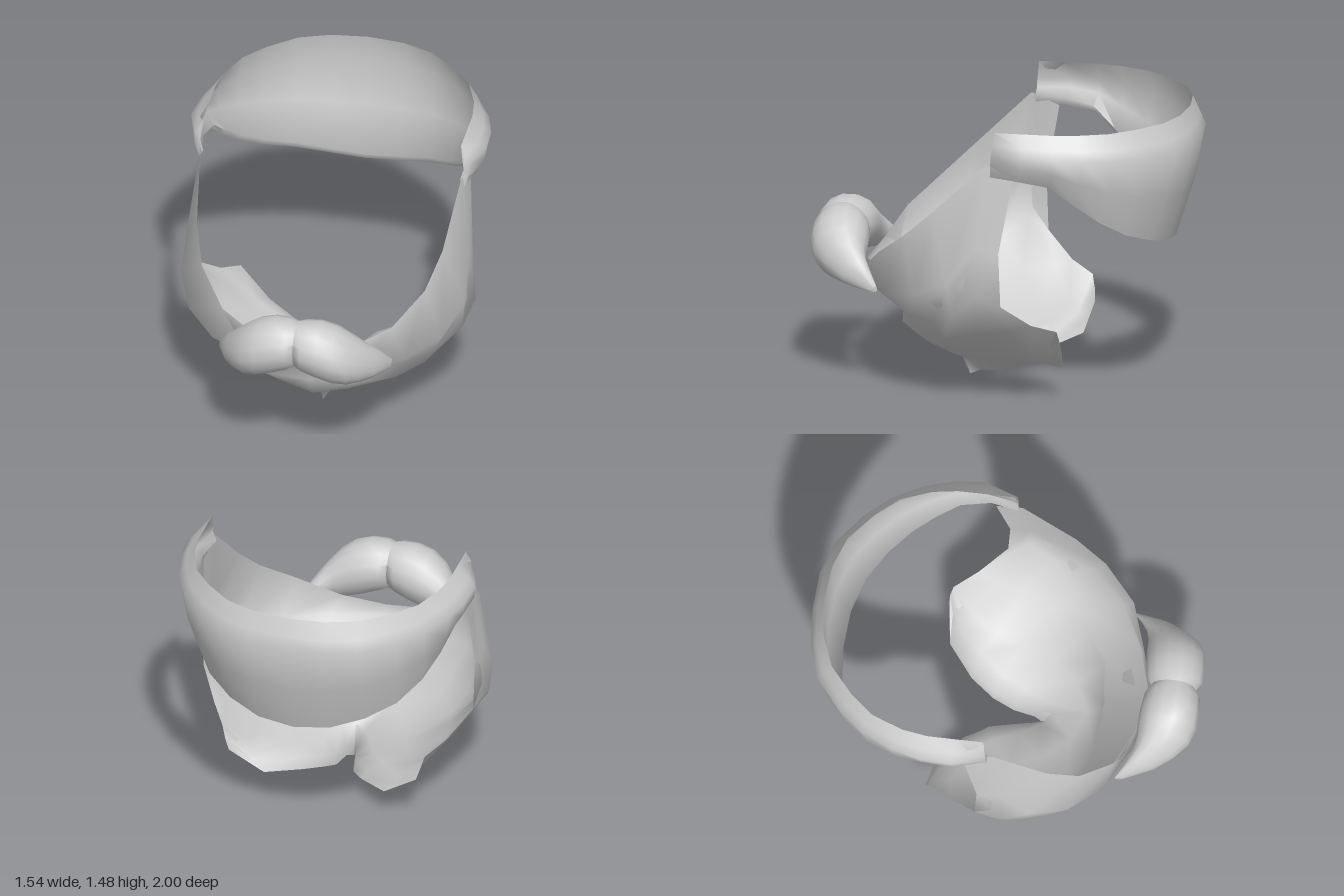
import * as THREE from 'three';
import { toCreasedNormals } from 'three/addons/utils/BufferGeometryUtils.js';

const lerp = (a, b, t) => a.map((v, i) => v + (b[i] - v) * t);

// Skin a list of closed cross-section loops.
function loft(loops, crease) {
  const n = loops[0].length;
  const index = [];
  for (let s = 0; s < loops.length - 1; s++) {
    for (let i = 0; i < n; i++) {
      const a = s * n + i, b = s * n + (i + 1) % n;
      index.push(a, a + n, b, b, a + n, b + n);
    }
  }
  const g = new THREE.BufferGeometry();
  g.setAttribute('position', new THREE.Float32BufferAttribute(loops.flat(2), 3));
  g.setIndex(index);
  return toCreasedNormals(g, crease);
}

// Continue half a set of loops (starting at x = 0) onto the other side.
function mirrored(loops) {
  const other = loops.slice(1).reverse().map(l => l.map(([x, y, z]) => [-x, y, z]));
  return [...other, ...loops];
}

// Loop shrunk to its middle, closing an end.
function cap(loop) {
  const c = [0, 1, 2].map(k => loop.reduce((s, p) => s + p[k], 0) / loop.length);
  return loop.map(() => c);
}

function hairLoops() {
  // per station: top edge, widest bulge, lower edge
  const stations = [
    [[0, 1.48, -0.94], [0, 1.33, -1.0], [0, 0.79, -0.865]],
    [[0.19, 1.48, -0.92], [0.2, 1.33, -0.985], [0.19, 0.81, -0.85]],
    [[0.35, 1.48, -0.86], [0.37, 1.33, -0.93], [0.36, 0.86, -0.79]],
    [[0.49, 1.48, -0.74], [0.53, 1.34, -0.8], [0.5, 0.92, -0.69]],
    [[0.59, 1.48, -0.62], [0.64, 1.35, -0.67], [0.6, 1.01, -0.57]],
    [[0.65, 1.48, -0.46], [0.72, 1.36, -0.51], [0.66, 1.11, -0.45]],
    [[0.67, 1.48, -0.33], [0.76, 1.37, -0.36], [0.7, 1.21, -0.33]],
    [[0.67, 1.48, -0.18], [0.77, 1.38, -0.2], [0.72, 1.24, -0.17]],
    [[0.67, 1.48, -0.04], [0.71, 1.38, -0.03], [0.69, 1.25, -0.02]],
  ];
  const inward = ([x, y, z], k, lift) => [x * k, y + lift, z * k];
  const loops = stations.map(([top, bulge, low]) => {
    const [mx, my, mz] = lerp(bulge, low, 0.5);
    const mid = [mx * 1.02, my, mz * 1.02];
    return [top, lerp(top, bulge, 0.6), bulge, mid, low,
      inward(low, 0.97, 0.04), inward(mid, 0.965, 0.02), inward(bulge, 0.96, 0)];
  });
  loops.push(cap(loops[loops.length - 1]));
  return mirrored(loops);
}

function beardLoops() {
  // per station, from the upper rim down to the neck edge
  const stations = [
    [[0, 0.59, 0.735], [0, 0.53, 0.75], [0, 0.43, 0.52], [0, 0.34, 0.545], [0, 0.2, 0.45], [0, 0.11, 0.25], [0, 0, 0.2]],
    [[0.22, 0.64, 0.68], [0.28, 0.53, 0.67], [0.25, 0.42, 0.5], [0.24, 0.33, 0.51], [0.16, 0.2, 0.38], [0.06, 0.1, 0.21], [0.025, 0.03, 0.14]],
    [[0.44, 0.75, 0.6], [0.5, 0.54, 0.56], [0.46, 0.43, 0.44], [0.42, 0.32, 0.4], [0.27, 0.18, 0.24], [0.12, 0.1, 0.1], [0.045, 0.035, 0.03]],
    [[0.58, 0.89, 0.44], [0.66, 0.59, 0.39], [0.6, 0.44, 0.29], [0.54, 0.33, 0.25], [0.34, 0.18, 0.08], [0.18, 0.12, -0.02], [0.08, 0.08, -0.08]],
    [[0.64, 1.04, 0.28], [0.74, 0.68, 0.2], [0.72, 0.52, 0.17], [0.58, 0.38, 0.06], [0.38, 0.19, -0.06], [0.26, 0.15, -0.14], [0.16, 0.12, -0.2]],
    [[0.68, 1.31, 0], [0.735, 0.88, 0.05], [0.765, 0.62, 0.05], [0.61, 0.4, -0.1], [0.46, 0.23, -0.2], [0.38, 0.18, -0.27], [0.32, 0.15, -0.33]],
    [[0.7, 1.24, -0.14], [0.725, 0.85, -0.07], [0.72, 0.57, -0.08], [0.62, 0.45, -0.22], [0.54, 0.4, -0.34], [0.52, 0.33, -0.355], [0.5, 0.27, -0.36]],
  ];
  // lining offsets: inward scale, lift, pull back
  const lining = [null, [0.98, 0, 0.015], [0.975, 0.01, 0.02], [0.965, 0.02, 0.04],
    [0.97, 0.05, 0.035], [1, 0.065, 0.025], [1.2, 0.06, 0]];
  return mirrored(stations.map((outer, s) => {
    const t = s === stations.length - 1 ? 0 : 1;
    const inner = [];
    for (let r = outer.length - 1; r > 0; r--) {
      const [x, y, z] = outer[r], [k, dy, dz] = lining[r];
      inner.push(lerp(outer[r], [x * k, y + dy, z - dz], t));
    }
    return [...outer, ...inner];
  }));
}

function moustacheLoops(side) {
  // x, centre y, half height, centre z, half depth
  const sections = [
    [0, 0.76, 0.12, 0.855, 0.115], [0.04, 0.755, 0.132, 0.855, 0.142],
    [0.12, 0.74, 0.15, 0.85, 0.15], [0.2, 0.715, 0.15, 0.845, 0.15],
    [0.27, 0.685, 0.13, 0.83, 0.135], [0.33, 0.65, 0.1, 0.79, 0.11],
    [0.39, 0.61, 0.065, 0.725, 0.08], [0.447, 0.555, 0.018, 0.625, 0.02],
  ];
  const loops = sections.map(([x, cy, h, cz, d]) => Array.from({ length: 14 }, (_, i) => {
    const a = i / 14 * Math.PI * 2 * side;
    return [x * side, cy + h * Math.sin(a), cz + d * Math.cos(a)];
  }));
  return [cap(loops[0]), ...loops, cap(loops[loops.length - 1])];
}

export function createModel() {
  const group = new THREE.Group();
  const grey = new THREE.MeshStandardMaterial({ color: 0xcccccc, side: THREE.DoubleSide });
  grey.name = 'hair grey';
  const add = (name, loops, crease) => {
    const mesh = new THREE.Mesh(loft(loops, crease), grey);
    mesh.name = name;
    group.add(mesh);
  };
  add('backHair', hairLoops(), 1.35);
  add('beard', beardLoops(), 1.5);
  add('moustacheLeft', moustacheLoops(1), 1.1);
  add('moustacheRight', moustacheLoops(-1), 1.1);
  return group;
}
